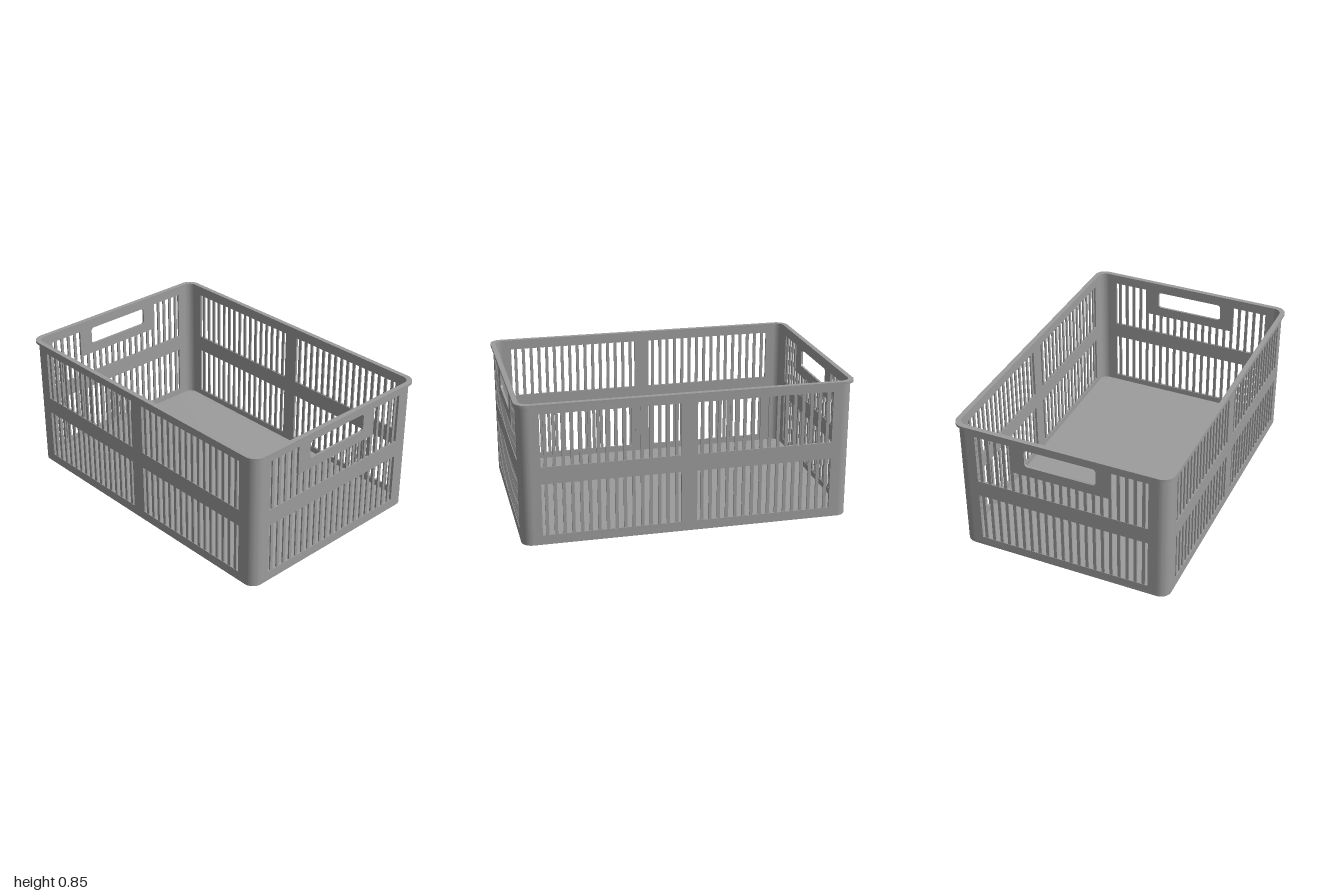
import * as THREE from 'three';
import { mergeGeometries, toCreasedNormals } from 'three/addons/utils/BufferGeometryUtils.js';

const X = 0.984, Z = 0.656, R = 0.065;   // outer wall half sizes and corner radius
const T = 0.014;                         // wall thickness
const FLOOR = 0.02, WALL_TOP = 0.839, TOP = 0.854;
const PITCH = 0.0507, BAR = 0.019;       // slat spacing and width
const BAR_DEPTH = 0.009;                 // slats sit slightly back from the wall faces
const LOWER = [0.058, 0.374], UPPER = [0.477, 0.793];
const PANEL = 0.3137, PANEL_Y = 0.614;   // solid panel around the hand hole

const material = new THREE.MeshStandardMaterial({ color: 0x9c9c9c });

// Rounded rectangle outline centred on (0, cy)
function roundedRect(path, w, h, r, cy = 0) {
  path.absarc(w - r, cy + h - r, r, 0, Math.PI / 2);
  path.absarc(-w + r, cy + h - r, r, Math.PI / 2, Math.PI);
  path.absarc(-w + r, cy - h + r, r, Math.PI, Math.PI * 1.5);
  path.absarc(w - r, cy - h + r, r, Math.PI * 1.5, Math.PI * 2);
  path.closePath();
  return path;
}

function rect(path, x0, y0, x1, y1) {
  path.moveTo(x0, y0).lineTo(x1, y0).lineTo(x1, y1).lineTo(x0, y1);
  path.closePath();
  return path;
}

function extrude(shape, depth) {
  const g = new THREE.ExtrudeGeometry(shape, { depth, bevelEnabled: false, curveSegments: 10 });
  return toCreasedNormals(g, 0.6);
}

function addMesh(parent, geometry, name) {
  const mesh = new THREE.Mesh(geometry, material);
  mesh.name = name;
  parent.add(mesh);
}

// Horizontal slab or ring, extruded upward from y0 to y1
function addLayer(parent, shape, y0, y1, name) {
  const g = extrude(shape, y1 - y0);
  g.rotateX(-Math.PI / 2);
  g.translate(0, y0, 0);
  addMesh(parent, g, name);
}

// Upright slat in the middle of the wall thickness
function slat(x, y0, y1) {
  return new THREE.BoxGeometry(BAR, y1 - y0, BAR_DEPTH).translate(x, (y0 + y1) / 2, T / 2);
}

function wallShape(half) {
  return rect(new THREE.Shape(), -half, FLOOR, half, WALL_TOP);
}

// Long wall: two slatted windows side by side on two levels
function longWall() {
  const shape = wallShape(X - R), slats = [];
  for (const side of [-1, 1])
    for (const [y0, y1] of [LOWER, UPPER]) {
      shape.holes.push(rect(new THREE.Path(), side * 0.456 - 0.409, y0, side * 0.456 + 0.409, y1));
      for (let i = 0; i < 16; i++) slats.push(slat(side * 0.456 + (i - 7.5) * PITCH, y0, y1));
    }
  return { frame: extrude(shape, T), slats: mergeGeometries(slats) };
}

// Short wall: the upper window steps down around a panel with a hand hole
function shortWall() {
  const shape = wallShape(Z - R), slats = [], w = 0.534;
  const upper = new THREE.Path();
  upper.moveTo(-w, UPPER[0]).lineTo(w, UPPER[0]).lineTo(w, UPPER[1]).lineTo(PANEL, UPPER[1]);
  upper.lineTo(PANEL, PANEL_Y).lineTo(-PANEL, PANEL_Y).lineTo(-PANEL, UPPER[1]).lineTo(-w, UPPER[1]);
  upper.closePath();
  shape.holes.push(rect(new THREE.Path(), -w, LOWER[0], w, LOWER[1]), upper);
  shape.holes.push(roundedRect(new THREE.Path(), 0.221, 0.056, 0.02, 0.734));
  for (let i = -10; i <= 10; i++) {
    slats.push(slat(i * PITCH, ...LOWER));
    slats.push(slat(i * PITCH, UPPER[0], Math.abs(i) <= 6 ? PANEL_Y : UPPER[1]));
  }
  return { frame: extrude(shape, T), slats: mergeGeometries(slats) };
}

export function createModel() {
  const crate = new THREE.Group();
  crate.name = 'crate';

  addLayer(crate, roundedRect(new THREE.Shape(), X, Z, R), 0, FLOOR, 'floor');

  // Four slatted walls
  const long = longWall(), short = shortWall();
  const walls = [
    ['frontWall', long, 0, Z], ['backWall', long, Math.PI, Z],
    ['leftWall', short, Math.PI / 2, X], ['rightWall', short, -Math.PI / 2, X],
  ];
  for (const [name, parts, angle, distance] of walls) {
    const wall = new THREE.Group();
    wall.name = name;
    addMesh(wall, parts.frame, 'wallFrame');
    addMesh(wall, parts.slats, 'slats');
    wall.rotation.y = angle;
    wall.position.set(Math.sin(angle) * (distance - T), 0, Math.cos(angle) * (distance - T));
    crate.add(wall);
  }

  // Rounded corner posts
  for (let i = 0; i < 4; i++) {
    const a0 = i * Math.PI / 2, a1 = a0 + Math.PI / 2;
    const cx = (i === 0 || i === 3 ? 1 : -1) * (X - R), cy = (i < 2 ? 1 : -1) * (Z - R);
    const shape = new THREE.Shape();
    shape.absarc(cx, cy, R, a0, a1, false);
    shape.absarc(cx, cy, R - T, a1, a0, true);
    shape.closePath();
    addLayer(crate, shape, FLOOR, WALL_TOP, 'cornerPost');
  }

  // Overhanging rim
  const rim = roundedRect(new THREE.Shape(), 1, 0.672, 0.073);
  rim.holes.push(roundedRect(new THREE.Path(), X - T, Z - T, R - T));
  addLayer(crate, rim, WALL_TOP, TOP, 'rim');

  return crate;
}
